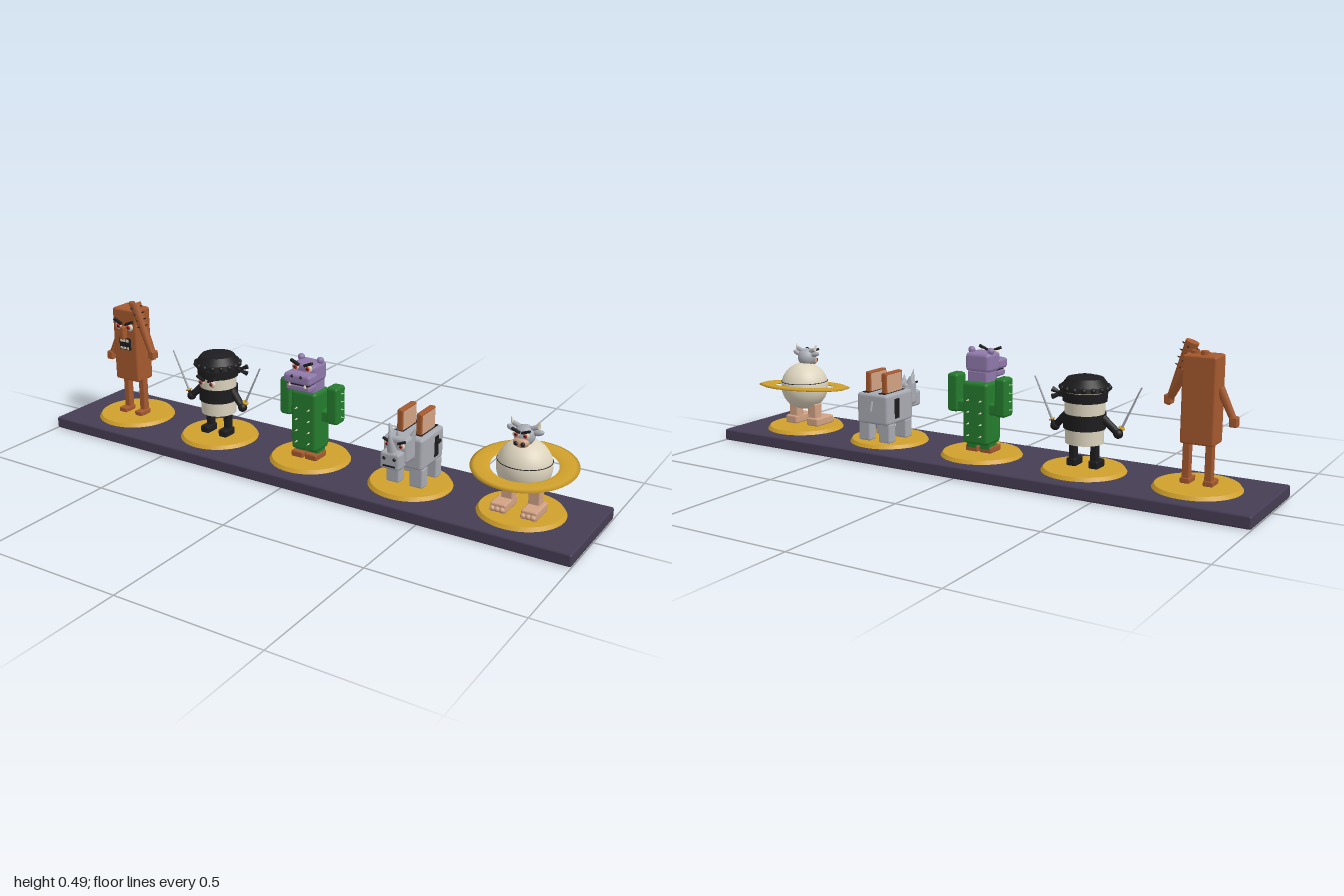
import * as THREE from 'three';
import { RoundedBoxGeometry } from 'three/addons/geometries/RoundedBoxGeometry.js';

const V = (x, y, z) => new THREE.Vector3(x, y, z);
const paint = (name, color) => Object.assign(new THREE.MeshStandardMaterial({ color }), { name });

export function createModel() {
  const slate = paint('slate', 0x463d54), gold = paint('gold', 0xd0a02c), brown = paint('brown', 0xa5592e),
    cream = paint('cream', 0xdcd3bd), black = paint('black', 0x1d1c1e), green = paint('green', 0x257c2e),
    purple = paint('purple', 0x9079ab), grey = paint('grey', 0xa8abb2), tan = paint('tan', 0xd2a284),
    red = paint('red', 0xd02424);

  const add = (parent, name, geo, mat, x = 0, y = 0, z = 0) => {
    const m = new THREE.Mesh(geo, mat);
    m.name = name;
    m.position.set(x, y, z);
    parent.add(m);
    return m;
  };
  // box with softened edges
  const box = (p, name, mat, w, h, d, x, y, z, r = 0.005) =>
    add(p, name, new RoundedBoxGeometry(w, h, d, 1, Math.min(r, w / 3, h / 3, d / 3)), mat, x, y, z);
  const ball = (p, name, mat, r, x, y, z) => add(p, name, new THREE.SphereGeometry(r, 20, 14), mat, x, y, z);
  const drum = (p, name, mat, rTop, rBot, y0, y1, x = 0, z = 0, n = 32) =>
    add(p, name, new THREE.CylinderGeometry(rTop, rBot, y1 - y0, n), mat, x, (y0 + y1) / 2, z);
  // tapered rod between two points
  const rod = (p, name, mat, a, b, ra, rb, n = 10) => {
    const d = b.clone().sub(a), m = add(p, name, new THREE.CylinderGeometry(rb, ra, d.length(), n), mat);
    m.position.copy(a).add(b).multiplyScalar(0.5);
    m.quaternion.setFromUnitVectors(V(0, 1, 0), d.normalize());
    return m;
  };
  // pair of angry eyes with brows, facing +z
  const face = (p, dx, y, z, r) => {
    for (const s of [-1, 1]) {
      ball(p, 'eye', cream, r, s * dx, y, z).scale.z = 0.5;
      ball(p, 'iris', red, r * 0.6, s * dx * 0.93, y, z + r * 0.35).scale.z = 0.5;
      ball(p, 'pupil', black, r * 0.28, s * dx * 0.93, y, z + r * 0.6).scale.z = 0.5;
      box(p, 'brow', black, r * 2.7, r * 0.7, r * 0.8, s * dx, y + r * 1.15, z + r * 0.3, 0.002).rotation.z = s * 0.4;
    }
  };

  const root = new THREE.Group();
  root.name = 'figureDisplay';
  box(root, 'displayBase', slate, 2, 0.042, 0.372, 0, 0.021, 0, 0.007);
  const figures = ['plankFigure', 'maskedFigure', 'cactusFigure', 'toasterFigure', 'planetFigure'].map((name, i) => {
    const g = new THREE.Group();
    g.name = name;
    g.position.x = (i - 2) * 0.384;
    root.add(g);
    drum(g, 'goldDisc', gold, 0.131, 0.14, 0.041, 0.054, 0, 0, 40);
    return g;
  });
  const [plank, masked, cactus, toaster, planet] = figures;

  // Wooden plank with a club
  box(plank, 'body', brown, 0.108, 0.272, 0.082, -0.006, 0.321, -0.002, 0.008);
  drum(plank, 'topPeg', brown, 0.012, 0.012, 0.452, 0.469, -0.015, -0.02, 12);
  drum(plank, 'topPeg', brown, 0.014, 0.014, 0.452, 0.466, 0.02, -0.005, 12);
  for (const s of [-1, 1]) {
    box(plank, 'leg', brown, 0.024, 0.14, 0.026, s * 0.036, 0.125, 0, 0.004);
    box(plank, 'foot', brown, 0.032, 0.018, 0.055, s * 0.037, 0.063, 0.012, 0.004);
  }
  rod(plank, 'rightArm', brown, V(-0.058, 0.36, 0), V(-0.1, 0.27, 0.005), 0.014, 0.011, 8);
  box(plank, 'rightHand', brown, 0.026, 0.032, 0.028, -0.104, 0.26, 0.006);
  rod(plank, 'leftArm', brown, V(0.05, 0.4, 0), V(0.108, 0.305, 0.022), 0.014, 0.012, 8);
  box(plank, 'leftHand', brown, 0.026, 0.03, 0.03, 0.111, 0.303, 0.025);
  const clubFoot = V(0.118, 0.285, 0.03), clubTop = V(0.044, 0.485, 0.03);
  rod(plank, 'club', brown, clubFoot, clubTop, 0.009, 0.022, 12);
  for (let i = 0; i < 4; i++) {
    const c = clubFoot.clone().lerp(clubTop, 0.6 + i * 0.11), r = 0.015 + i * 0.002;
    for (const k of [0, 1, 2, 3]) {
      const a = k * Math.PI / 2, dir = V(Math.cos(a) * 0.94, Math.cos(a) * 0.34, Math.sin(a));
      rod(plank, 'clubStud', black, c.clone().addScaledVector(dir, r), c.clone().addScaledVector(dir, r + 0.011), 0.003, 0.0005, 6);
    }
  }
  face(plank, 0.026, 0.395, 0.045, 0.014);
  box(plank, 'nose', brown, 0.018, 0.048, 0.025, -0.003, 0.372, 0.047);
  box(plank, 'mouth', black, 0.05, 0.044, 0.008, -0.003, 0.328, 0.041, 0.002);
  for (const s of [-1, 0, 1]) {
    box(plank, 'upperTooth', cream, 0.011, 0.011, 0.006, -0.003 + s * 0.014, 0.341, 0.044, 0.001);
    box(plank, 'lowerTooth', cream, 0.011, 0.008, 0.006, -0.003 + s * 0.014, 0.313, 0.044, 0.001);
  }

  // Masked round figure with two blades
  drum(masked, 'body', cream, 0.066, 0.062, 0.135, 0.315);
  drum(masked, 'belt', black, 0.069, 0.068, 0.183, 0.232);
  drum(masked, 'mask', black, 0.073, 0.071, 0.272, 0.302);
  drum(masked, 'hatBrim', black, 0.077, 0.08, 0.307, 0.322);
  drum(masked, 'hatCrown', black, 0.058, 0.076, 0.322, 0.346);
  drum(masked, 'hatTop', black, 0.03, 0.05, 0.346, 0.353);
  for (let i = 0; i < 16; i++) {
    const a = i * Math.PI / 8;
    ball(masked, 'hatKnob', black, 0.009, Math.cos(a) * 0.076, 0.315, Math.sin(a) * 0.076);
  }
  face(masked, 0.024, 0.258, 0.066, 0.013);
  box(masked, 'maskKnot', black, 0.024, 0.02, 0.02, 0.066, 0.292, -0.03);
  for (const k of [0, 1])
    rod(masked, 'maskTail', black, V(0.068, 0.292, -0.03), V(0.098, 0.306 - k * 0.026, -0.04), 0.004, 0.009, 6);
  for (const s of [-1, 1]) {
    rod(masked, 'arm', black, V(s * 0.062, 0.222, 0), V(s * 0.108, 0.178, 0.012), 0.014, 0.012);
    ball(masked, 'hand', black, 0.016, s * 0.112, 0.174, 0.012);
    rod(masked, 'bladeGrip', black, V(s * 0.108, 0.16, 0.012), V(s * 0.124, 0.194, 0.012), 0.006, 0.006, 8);
    rod(masked, 'bladeGuard', gold, V(s * 0.123, 0.192, 0.012), V(s * 0.125, 0.196, 0.012), 0.011, 0.011, 10);
    rod(masked, 'blade', grey, V(s * 0.124, 0.194, 0.012), V(s * 0.188, 0.33, 0.012), 0.004, 0.0025, 6);
    box(masked, 'leg', black, 0.024, 0.08, 0.026, s * 0.038, 0.105, 0);
    box(masked, 'boot', black, 0.034, 0.026, 0.056, s * 0.039, 0.067, 0.011);
  }

  // Cactus body with a purple animal head
  box(cactus, 'body', green, 0.1, 0.215, 0.092, 0, 0.19, 0, 0.014);
  for (const s of [-1, 1]) {
    box(cactus, 'armLink', green, 0.06, 0.04, 0.045, s * 0.068, 0.208, -0.012, 0.008);
    box(cactus, 'arm', green, 0.044, 0.132, 0.058, s * 0.092, 0.252, -0.012, 0.011);
    box(cactus, 'leg', green, 0.04, 0.04, 0.05, s * 0.026, 0.085, 0);
    box(cactus, 'foot', brown, 0.046, 0.022, 0.068, s * 0.027, 0.065, 0.01);
    for (let i = 0; i < 4; i++) {
      const y = 0.115 + i * 0.04, ya = 0.21 + i * 0.028;
      for (const f of [-1, 1])
        rod(cactus, 'bodySpine', cream, V(s * 0.024, y, f * 0.045), V(s * 0.024, y, f * 0.061), 0.0035, 0.0004, 6);
      rod(cactus, 'armSpine', cream, V(s * 0.113, ya, -0.012), V(s * 0.126, ya + 0.002, -0.012), 0.003, 0.0004, 6);
    }
    // ears and tusks
    ball(cactus, 'ear', purple, 0.012, s * 0.037, 0.398, -0.003);
    rod(cactus, 'tusk', cream, V(s * 0.03, 0.325, 0.08), V(s * 0.03, 0.342, 0.083), 0.005, 0.001, 8);
    ball(cactus, 'nostril', black, 0.005, s * 0.017, 0.36, 0.085);
  }
  box(cactus, 'neck', purple, 0.078, 0.06, 0.07, 0, 0.305, 0.004, 0.008);
  box(cactus, 'head', purple, 0.094, 0.066, 0.08, 0, 0.36, 0.007, 0.014);
  box(cactus, 'muzzle', purple, 0.104, 0.036, 0.055, 0, 0.35, 0.059, 0.011);
  box(cactus, 'jaw', purple, 0.092, 0.022, 0.048, 0, 0.318, 0.055, 0.007);
  box(cactus, 'mouth', black, 0.082, 0.012, 0.042, 0, 0.331, 0.055, 0.002);
  face(cactus, 0.026, 0.382, 0.05, 0.013);

  // Horned toaster animal
  box(toaster, 'body', grey, 0.132, 0.11, 0.155, 0, 0.171, -0.023, 0.012);
  box(toaster, 'neck', grey, 0.08, 0.07, 0.05, 0, 0.19, 0.06, 0.008);
  box(toaster, 'head', grey, 0.086, 0.085, 0.066, 0, 0.2, 0.082, 0.012);
  box(toaster, 'snout', grey, 0.07, 0.058, 0.055, 0, 0.174, 0.122, 0.01);
  rod(toaster, 'frontHorn', grey, V(0, 0.195, 0.128), V(0, 0.273, 0.155), 0.018, 0.001, 12);
  rod(toaster, 'rearHorn', grey, V(0, 0.225, 0.09), V(0, 0.262, 0.097), 0.014, 0.001, 12);
  face(toaster, 0.026, 0.218, 0.116, 0.011);
  box(toaster, 'mouth', black, 0.045, 0.006, 0.006, 0, 0.158, 0.148, 0.001);
  for (const s of [-1, 1]) {
    rod(toaster, 'ear', grey, V(s * 0.034, 0.228, 0.07), V(s * 0.046, 0.264, 0.066), 0.013, 0.003, 8);
    ball(toaster, 'nostril', black, 0.006, s * 0.018, 0.183, 0.148);
    for (const z of [0.027, -0.072]) box(toaster, 'leg', grey, 0.048, 0.068, 0.04, s * 0.042, 0.088, z, 0.006);
    box(toaster, 'breadSlot', black, 0.03, 0.006, 0.12, s * 0.034, 0.2245, -0.03, 0.001);
    box(toaster, 'toastCrust', brown, 0.021, 0.09, 0.098, s * 0.034, 0.252, -0.027, 0.005);
    for (const f of [-1, 1])
      box(toaster, 'toastFace', tan, 0.004, 0.08, 0.086, s * 0.034 + f * 0.0095, 0.25, -0.027, 0.001);
    box(toaster, 'leverSlot', black, 0.006, 0.07, 0.026, s * 0.065, 0.172, -0.045, 0.001);
  }
  box(toaster, 'lever', black, 0.014, 0.012, 0.024, 0.071, 0.19, -0.045, 0.003);
  rod(toaster, 'tail', grey, V(0, 0.2, -0.098), V(0, 0.165, -0.108), 0.005, 0.004, 8);

  // Ringed planet with a horned head
  add(planet, 'body', new THREE.SphereGeometry(0.086, 36, 24), cream, 0, 0.198, 0);
  const seam = add(planet, 'seam', new THREE.TorusGeometry(0.0842, 0.0012, 6, 48), black, 0, 0.217, 0);
  seam.rotation.x = Math.PI / 2;
  const profile = [[0.104, 0], [0.118, -0.005], [0.152, -0.005], [0.165, 0], [0.152, 0.005], [0.118, 0.005], [0.104, 0]];
  const ring = add(planet, 'ring', new THREE.LatheGeometry(profile.map(([x, y]) => new THREE.Vector2(x, y)), 56), gold, 0, 0.197, 0);
  ring.rotation.x = 0.115;
  ball(planet, 'head', grey, 0.033, 0, 0.302, 0.016);
  ball(planet, 'muzzle', tan, 0.022, 0, 0.287, 0.041).scale.set(1.15, 0.75, 0.8);
  face(planet, 0.016, 0.312, 0.046, 0.011);
  for (const s of [-1, 1]) {
    ball(planet, 'nostril', black, 0.007, s * 0.011, 0.287, 0.056);
    const ear = ball(planet, 'ear', grey, 0.018, s * 0.042, 0.316, 0.014);
    ear.scale.set(1, 0.5, 0.55);
    ear.rotation.z = s * 0.3;
    rod(planet, 'horn', grey, V(s * 0.018, 0.325, 0.014), V(s * 0.04, 0.334, 0.014), 0.008, 0.007, 10);
    rod(planet, 'hornTip', cream, V(s * 0.04, 0.332, 0.014), V(s * 0.046, 0.352, 0.016), 0.007, 0.001, 10);
    box(planet, 'leg', tan, 0.038, 0.062, 0.037, s * 0.044, 0.105, 0, 0.005);
    box(planet, 'foot', tan, 0.052, 0.03, 0.096, s * 0.05, 0.069, 0.022, 0.006);
    for (const t of [-1, 0, 1]) ball(planet, 'toe', tan, 0.009, s * 0.05 + t * 0.016, 0.066, 0.071);
  }
  return root;
}
